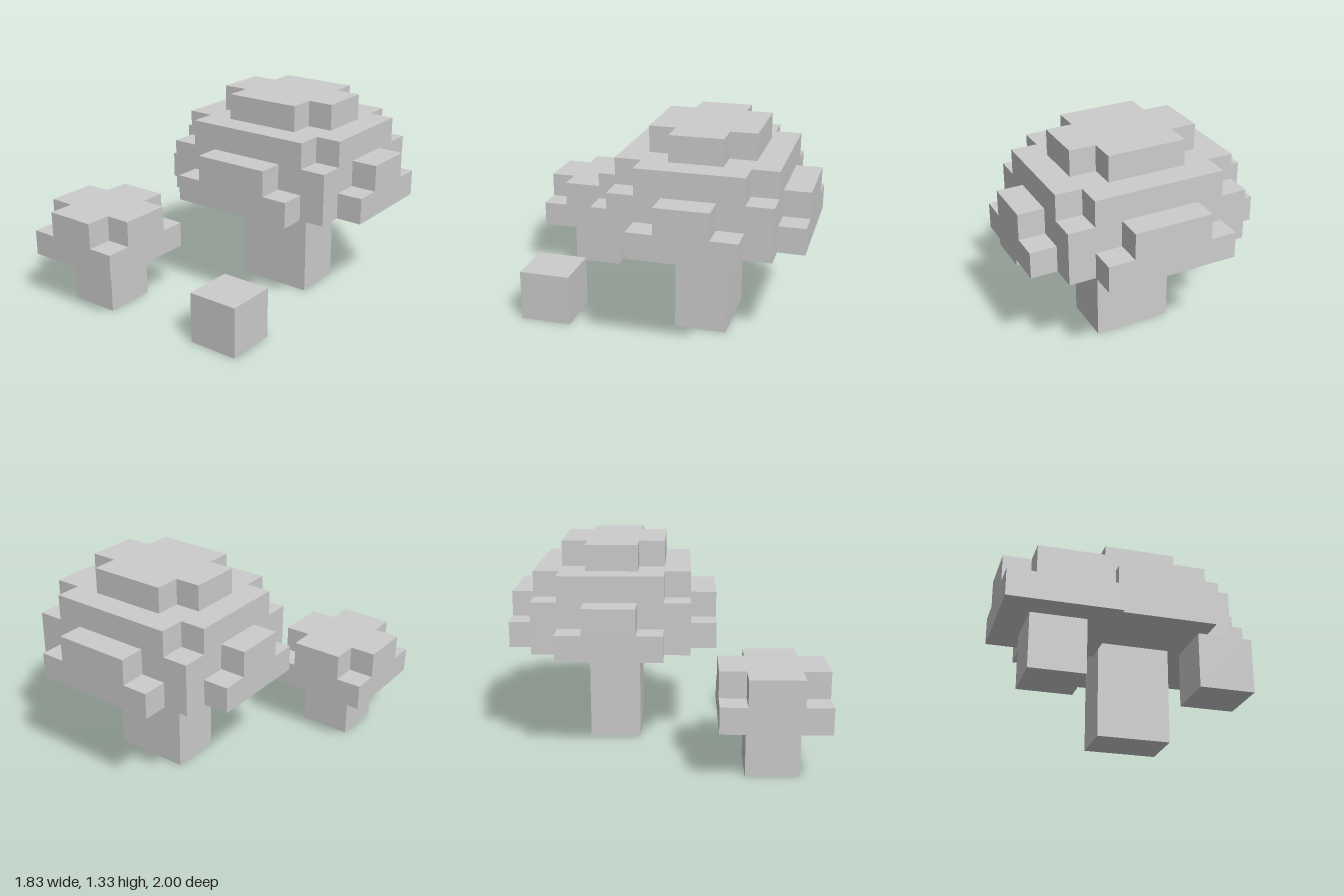
import * as THREE from 'three';

// All sizes are in voxels; six voxels make one unit.
const VOXEL = 1 / 6;

export function createModel() {
  const grey = new THREE.MeshStandardMaterial({ color: 0xcccccc });
  grey.name = 'light grey';

  const add = (parent, name, geometry, x = 0, y = 0, z = 0) => {
    const mesh = new THREE.Mesh(geometry, grey);
    mesh.name = name;
    mesh.position.set(x, y, z);
    parent.add(mesh);
  };

  // Box standing on the given height
  const block = (parent, name, w, h, d, x, y, z) =>
    add(parent, name, new THREE.BoxGeometry(w, h, d), x, y + h / 2, z);

  const extrude = (points) => new THREE.ExtrudeGeometry(
    new THREE.Shape(points.map(([x, y]) => new THREE.Vector2(x, y))),
    { depth: 1, bevelEnabled: false });

  // One-voxel slab with a square notch in each corner
  const notchedSlab = (parent, name, w, d, y) => {
    const a = w / 2, b = d / 2;
    const geometry = extrude([
      [1 - a, -b], [a - 1, -b], [a - 1, 1 - b], [a, 1 - b], [a, b - 1], [a - 1, b - 1],
      [a - 1, b], [1 - a, b], [1 - a, b - 1], [-a, b - 1], [-a, 1 - b], [1 - a, 1 - b],
    ]).rotateX(-Math.PI / 2);
    add(parent, name, geometry, 0, y, 0);
  };

  // Two-step ledge facing outwards, turned about the cap's centre
  const ledge = (parent, name, w, distance, y, angle) => {
    const a = w / 2;
    const geometry = extrude([
      [-a, 0], [a, 0], [a, 1], [a - 1, 1], [a - 1, 2], [1 - a, 2], [1 - a, 1], [-a, 1],
    ]).translate(0, 0, distance).rotateY(angle);
    add(parent, name, geometry, 0, y, 0);
  };

  const model = new THREE.Group();
  model.name = 'mushroomCluster';
  model.scale.setScalar(VOXEL);

  // Large mushroom
  const large = new THREE.Group();
  large.name = 'largeMushroom';
  large.position.set(1, 0, -2);
  model.add(large);
  block(large, 'largeStem', 3, 4, 2, 0, 0, 0);
  block(large, 'largeCapBody', 7, 2, 6, 0, 4, 0);
  notchedSlab(large, 'largeCapShoulder', 7, 6, 6);
  notchedSlab(large, 'largeCapCrown', 5, 4, 7);
  ['Front', 'Left', 'Back', 'Right'].forEach((side, i) => {
    const across = i % 2;
    ledge(large, 'capLedge' + side, across ? 4 : 5, across ? 3.5 : 3, 4, i * Math.PI / 2);
  });

  // Small mushroom
  const small = new THREE.Group();
  small.name = 'smallMushroom';
  small.position.set(-3.5, 0, 4);
  model.add(small);
  block(small, 'smallStem', 2, 2, 2, 0, 0, 0);
  block(small, 'smallCapBrim', 4, 1, 4, 0, 2, 0);
  notchedSlab(small, 'smallCapCrown', 4, 4, 3);

  // Sprout: a single cube
  block(model, 'sprout', 2, 2, 2, 2.5, 0, 4);

  const root = new THREE.Group();
  root.name = 'mushrooms';
  root.add(model);
  return root;
}
